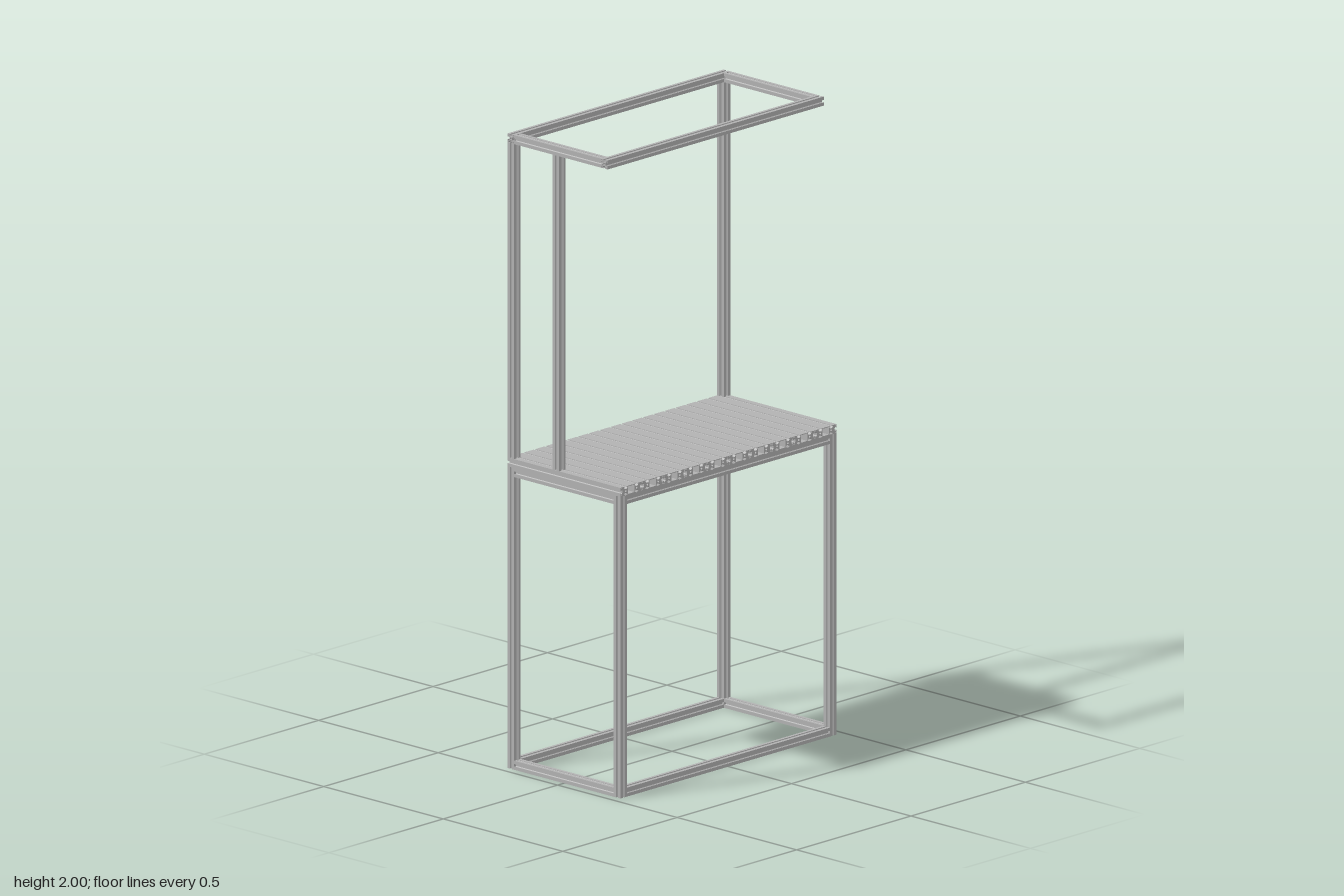
import * as THREE from 'three';

const MM = 0.000945;           // profile drawings are in millimetres
const B = 30 * MM;             // bar thickness
const W = 0.945, D = 0.473, H = 2;
const TOP = 0.979;             // height of the worktop surface
const UPPER_FRONT = 0.183;     // front edge of the upper frame

// One T-slot, as (offset along the edge, depth into the profile)
const SLOT = [[-4.1, 0], [-4.1, 2], [-8.2, 2], [-8.2, 4], [-4, 9], [4, 9], [8.2, 4], [8.2, 2], [4.1, 2], [4.1, 0]];

// Rectangular outline with slots cut into every edge
function slottedShape(w, h, slotsAcross) {
  const pts = [];
  const edges = [
    { o: [0, -h / 2], u: [1, 0], n: [0, 1], half: w / 2, at: slotsAcross },
    { o: [w / 2, 0], u: [0, 1], n: [-1, 0], half: h / 2, at: [0] },
    { o: [0, h / 2], u: [-1, 0], n: [0, -1], half: w / 2, at: slotsAcross },
    { o: [-w / 2, 0], u: [0, -1], n: [1, 0], half: h / 2, at: [0] },
  ];
  for (const { o, u, n, half, at } of edges) {
    const put = (a, d) => pts.push(new THREE.Vector2(o[0] + u[0] * a + n[0] * d, o[1] + u[1] * a + n[1] * d).multiplyScalar(MM));
    put(-half, 0);
    for (const c of at) for (const [a, d] of SLOT) put(c + a, d);
  }
  const shape = new THREE.Shape(pts);
  // Screw bores behind the slots
  for (const c of slotsAcross) {
    const bore = new THREE.Path();
    bore.absarc(c * MM, 0, 3.6 * MM, 0, Math.PI * 2, true);
    shape.holes.push(bore);
  }
  // Hollow corners
  for (const sx of [-1, 1]) for (const sy of [-1, 1]) {
    shape.holes.push(rectHole(sx * (w / 2 - 3.2), sy * (h / 2 - 3.2), 1.6, 1.6));
  }
  return shape;
}

function rectHole(cx, cy, hw, hh) {
  return new THREE.Path([[-1, -1], [-1, 1], [1, 1], [1, -1]].map(
    ([x, y]) => new THREE.Vector2((cx + x * hw) * MM, (cy + y * hh) * MM)));
}

export function createModel() {
  const group = new THREE.Group();
  group.name = 'workbenchFrame';
  const aluminium = new THREE.MeshStandardMaterial({ color: 0xb2b2b2 });
  aluminium.name = 'aluminium grey';

  const barShape = slottedShape(30, 30, [0]);
  const plankShape = slottedShape(100, 30, [-25, 25]);
  plankShape.holes.push(rectHole(0, 0, 14.5, 12.5));

  // Extruded length of a profile centred at (x, y, z) along an axis
  function extrusion(name, shape, axis, length, x, y, z) {
    const geo = new THREE.ExtrudeGeometry(shape, { depth: length, bevelEnabled: false, curveSegments: 6 });
    geo.translate(0, 0, -length / 2);
    if (axis === 'x') geo.rotateY(Math.PI / 2);
    if (axis === 'y') geo.rotateX(-Math.PI / 2);
    const mesh = new THREE.Mesh(geo, aluminium);
    mesh.name = name;
    mesh.position.set(x, y, z);
    group.add(mesh);
  }
  const bar = (name, ...rest) => extrusion(name, barShape, ...rest);

  const px = W / 2 - B / 2, pz = D / 2 - B / 2;
  const legTop = TOP - B;

  // Lower frame: four legs with rails between them at floor and worktop
  for (const sx of [-1, 1]) for (const sz of [-1, 1]) {
    bar('leg', 'y', legTop, sx * px, legTop / 2, sz * pz);
  }
  for (const [name, y] of [['floor', B / 2], ['worktop', legTop - B / 2]]) {
    for (const s of [-1, 1]) {
      bar(name + 'LongRail', 'x', W - 2 * B, 0, y, s * pz);
      bar(name + 'SideRail', 'z', D - 2 * B, s * px, y, 0);
    }
  }

  // Worktop: ten slotted planks side by side
  for (let i = 0; i < 10; i++) {
    extrusion('worktopPlank', plankShape, 'z', D, (i - 4.5) * W / 10, TOP - B / 2, 0);
  }

  // Uprights: two at the back and one extra on a single side
  const upLen = H - B - TOP, upY = TOP + upLen / 2;
  for (const s of [-1, 1]) bar('backUpright', 'y', upLen, s * px, upY, -pz);
  bar('sideUpright', 'y', upLen, -px, upY, -0.034);

  // Upper frame: full-width long rails with side rails between
  const fz = UPPER_FRONT - B / 2, topY = H - B / 2;
  bar('upperFrontRail', 'x', W, 0, topY, fz);
  bar('upperBackRail', 'x', W, 0, topY, -pz);
  for (const s of [-1, 1]) bar('upperSideRail', 'z', fz + pz - B, s * px, topY, (fz - pz) / 2);

  return group;
}
